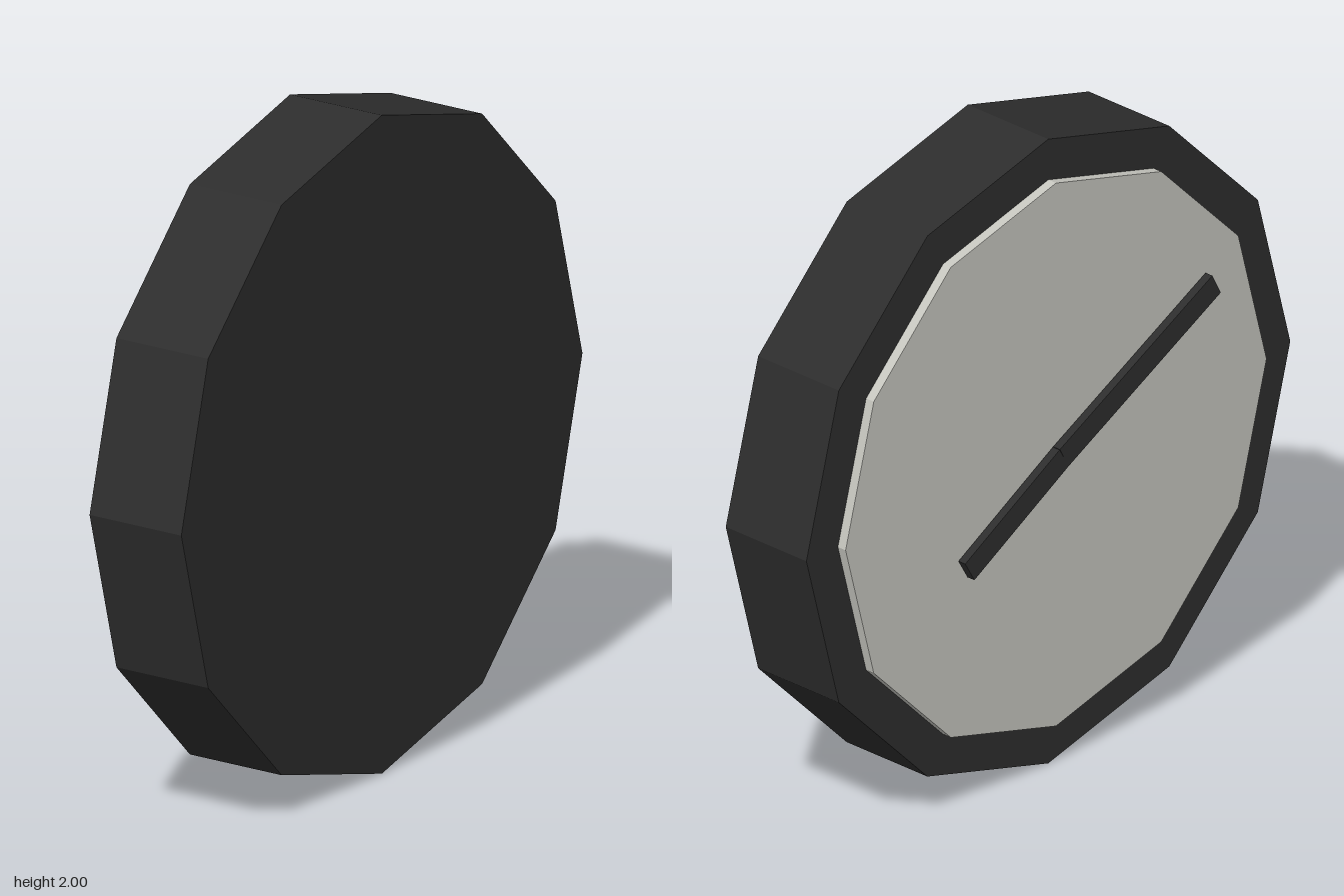
import * as THREE from 'three';

export function createModel() {
  const group = new THREE.Group();
  const black = new THREE.MeshStandardMaterial({ color: 0x2d2d2d, flatShading: true });
  black.name = 'black casing';
  const grey = new THREE.MeshStandardMaterial({ color: 0xc6c6bf, flatShading: true });
  grey.name = 'pale grey face';

  // Twelve-sided disc lying between two z values
  function disc(name, radius, zBack, zFront, material) {
    const geometry = new THREE.CylinderGeometry(radius, radius, zFront - zBack, 12);
    geometry.rotateX(Math.PI / 2);
    const mesh = new THREE.Mesh(geometry, material);
    mesh.name = name;
    mesh.position.set(0, 1, (zFront + zBack) / 2);
    group.add(mesh);
  }

  // Flat clock hand from the dial centre to a tip offset
  function hand(name, dx, dy) {
    const length = Math.hypot(dx, dy);
    const geometry = new THREE.BoxGeometry(length, 0.075, 0.027);
    geometry.translate(length / 2, 0, 0);
    const mesh = new THREE.Mesh(geometry, black);
    mesh.name = name;
    mesh.position.set(0, 1, -0.18);
    mesh.rotation.z = Math.atan2(dy, dx);
    group.add(mesh);
  }

  disc('casing', 1, -0.13, 0.193, black);
  disc('dial', 0.87, -0.161, -0.129, grey);
  hand('minuteHand', -0.63, 0.335);
  hand('hourHand', 0.39, -0.228);

  return group;
}
